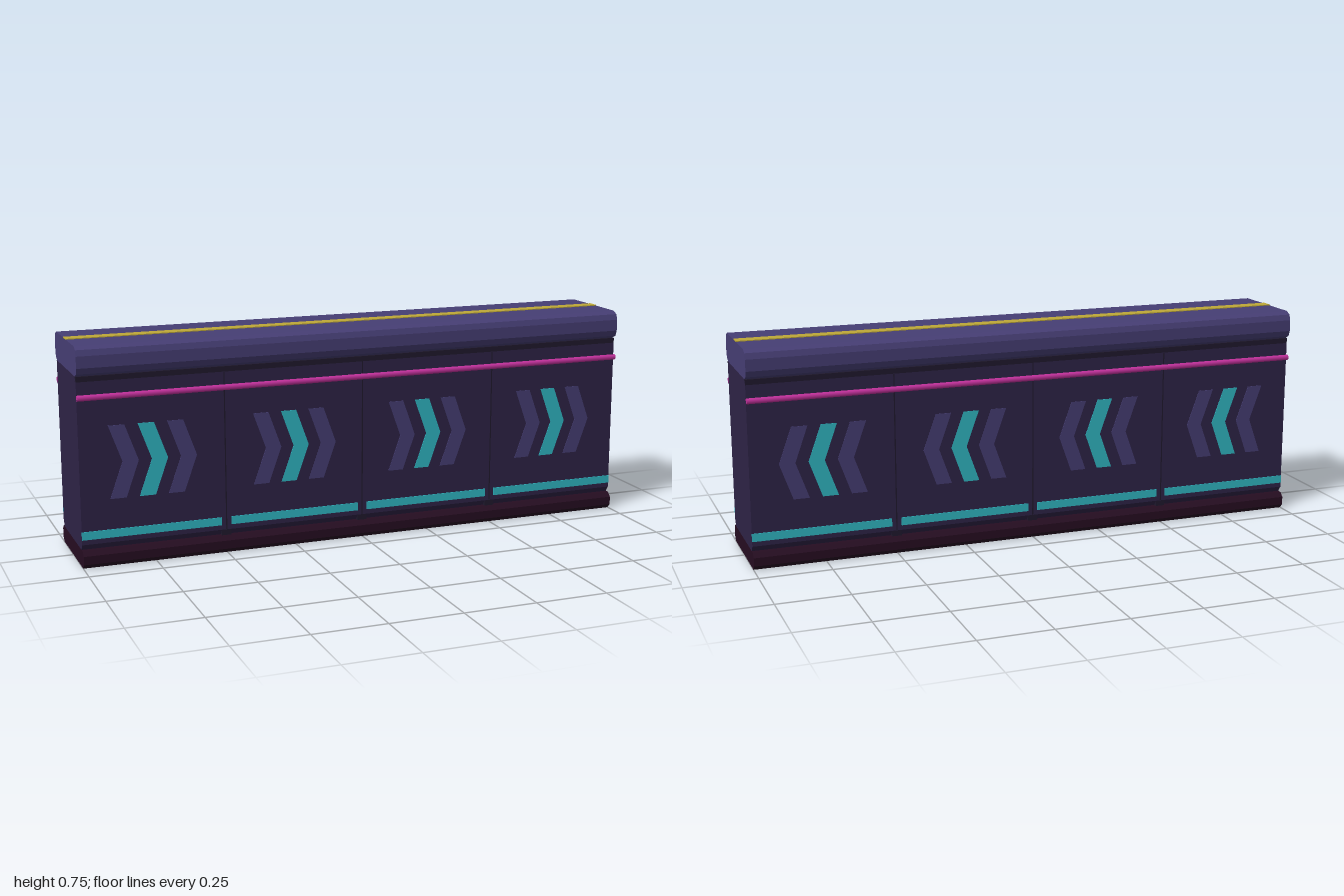
import * as THREE from 'three';

const LENGTH = 2;
const mat = (name, color) => {
  const m = new THREE.MeshStandardMaterial({ color });
  m.name = name;
  return m;
};

// Extrude a symmetric profile, given as its +z half from bottom to top, along x
function bar(half, length = LENGTH) {
  const left = half.map(([z, y]) => [-z, y]).reverse();
  const shape = new THREE.Shape([...half, ...left].map(([z, y]) => new THREE.Vector2(z, y)));
  const geo = new THREE.ExtrudeGeometry(shape, { depth: length, bevelEnabled: false });
  geo.translate(0, 0, -length / 2);
  geo.rotateY(-Math.PI / 2);
  return geo;
}

// Arrow plate pointing to +x, starting at x = 0 and centred on y = 0
function chevronGeometry() {
  const pts = [[0, -0.125], [0.055, -0.125], [0.1, 0], [0.055, 0.125], [0, 0.125], [0.045, 0]];
  const shape = new THREE.Shape(pts.map(([x, y]) => new THREE.Vector2(x, y)));
  return new THREE.ExtrudeGeometry(shape, { depth: 0.004, bevelEnabled: false });
}

export function createModel() {
  const model = new THREE.Group();
  model.name = 'barrier';

  const body = mat('deep purple', 0x2e2347);
  const cap = mat('slate violet', 0x463e74);
  const base = mat('dark plum', 0x260d21);
  const dark = mat('near black violet', 0x1f192d);
  const cyan = mat('cyan', 0x30b8c4);
  const pink = mat('magenta', 0xc2319c);
  const yellow = mat('yellow', 0xbea838);

  const add = (name, geo, material, x = 0, y = 0, z = 0, parent = model) => {
    const mesh = new THREE.Mesh(geo, material);
    mesh.name = name;
    mesh.position.set(x, y, z);
    parent.add(mesh);
    return mesh;
  };
  const box = (w, h, d) => new THREE.BoxGeometry(w, h, d);

  // Plinth, wall and coping
  add('base', bar([[0.16, 0], [0.175, 0.016], [0.175, 0.045], [0.16, 0.06]]), base);
  add('wall', bar([[0.142, 0.06], [0.157, 0.08], [0.157, 0.632], [0.142, 0.65]]), body);
  add('cap', bar([[0.147, 0.65], [0.168, 0.66], [0.175, 0.68], [0.175, 0.72],
    [0.168, 0.74], [0.147, 0.75]]), cap);
  add('topStripe', box(LENGTH, 0.004, 0.044), yellow, 0, 0.751, 0);

  // Ribs showing in the chamfers at the panel joints
  for (const x of [-0.5, 0, 0.5]) add('jointRib', box(0.034, 0.59, 0.313), dark, x, 0.355, 0);

  const chevron = chevronGeometry();
  const rail = new THREE.CylinderGeometry(0.01, 0.01, LENGTH, 8);
  rail.rotateZ(Math.PI / 2);

  // Matching decoration on both faces; arrows point to +x on each
  for (const side of [1, -1]) {
    const face = new THREE.Group();
    face.name = side > 0 ? 'frontFace' : 'backFace';
    model.add(face);

    add('rail', rail, pink, 0, 0.58, side * 0.165, face);
    add('topTrim', box(LENGTH, 0.018, 0.012), dark, 0, 0.641, side * 0.151, face);

    for (let i = 0; i < 4; i++) {
      const x = -0.75 + i * 0.5;
      // Light strip stops short of each joint
      const x0 = x - 0.25 + (i > 0 ? 0.017 : 0);
      const x1 = x + 0.25 - (i < 3 ? 0.017 : 0);
      add('lightStrip', box(x1 - x0, 0.028, 0.005), cyan, (x0 + x1) / 2, 0.111, side * 0.1575, face);
      // Three arrows, the middle one lit
      [-0.15, -0.05, 0.05].forEach((dx, k) => add('arrow', chevron, k === 1 ? cyan : cap,
        x + dx, 0.355, side * 0.157 - 0.002, face));
      // Seam between panels
      if (i < 3) add('panelSeam', box(0.004, 0.55, 0.002), dark, x + 0.25, 0.356, side * 0.157, face);
    }
  }
  return model;
}
